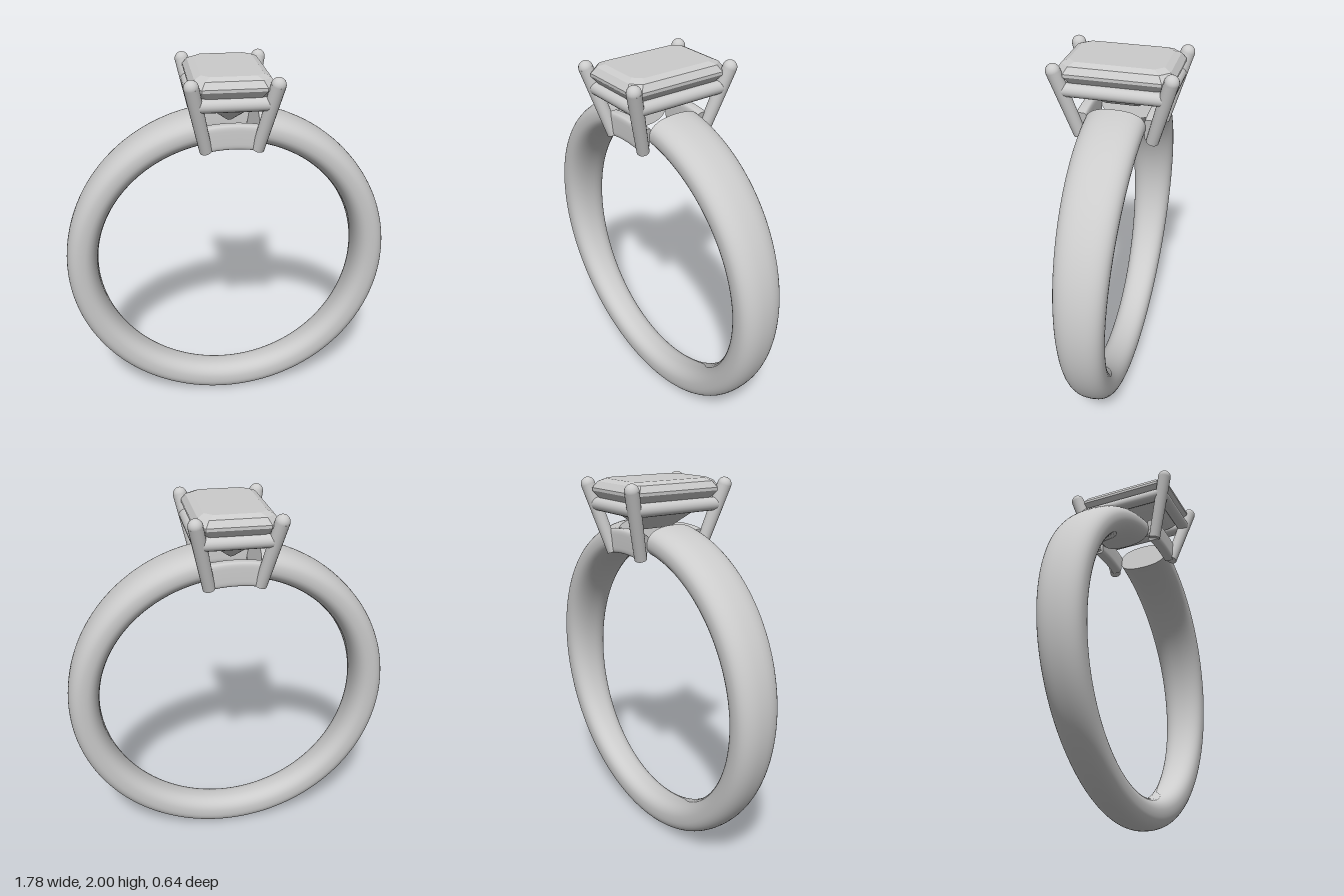
import * as THREE from 'three';
import { ConvexGeometry } from 'three/addons/geometries/ConvexGeometry.js';

const CENTER_Y = 0.895;
const V = (x, y, z) => new THREE.Vector3(x, y, z);

// Capped sweep round the finger hole; angle 0 is the top of the ring.
// size(a) gives { inner, outer, z, half }, power squares off the section.
function sweepArc(a0, a1, steps, sides, power, size) {
  const pos = [], idx = [];
  const bend = (v) => Math.sign(v) * Math.abs(v) ** (2 / power);
  const addSection = (a) => {
    const s = size(a);
    for (let j = 0; j < sides; j++) {
      const t = (j / sides) * Math.PI * 2;
      const r = (s.inner + s.outer) / 2 + ((s.outer - s.inner) / 2) * bend(Math.cos(t));
      pos.push(r * Math.sin(a), CENTER_Y + r * Math.cos(a), s.z + s.half * bend(Math.sin(t)));
    }
  };
  for (let i = 0; i <= steps; i++) addSection(a0 + ((a1 - a0) * i) / steps);
  for (let i = 0; i < steps; i++) {
    for (let j = 0; j < sides; j++) {
      const p = i * sides + j, q = i * sides + ((j + 1) % sides);
      idx.push(p, q, p + sides, q, q + sides, p + sides);
    }
  }
  // flat end caps with their own vertices
  for (const [a, start] of [[a0, true], [a1, false]]) {
    const b = pos.length / 3;
    addSection(a);
    for (let j = 1; j < sides - 1; j++) {
      if (start) idx.push(b, b + j + 1, b + j);
      else idx.push(b, b + j, b + j + 1);
    }
  }
  const g = new THREE.BufferGeometry();
  g.setAttribute('position', new THREE.Float32BufferAttribute(pos, 3));
  g.setIndex(idx);
  g.computeVertexNormals();
  return g;
}

// Round bar between two points
function bar(from, to, r0, r1) {
  const dir = to.clone().sub(from);
  const g = new THREE.CylinderGeometry(r1, r0, dir.length(), 20);
  g.applyQuaternion(new THREE.Quaternion().setFromUnitVectors(V(0, 1, 0), dir.normalize()));
  const mid = from.clone().add(to).multiplyScalar(0.5);
  return g.translate(mid.x, mid.y, mid.z);
}

export function createModel() {
  const model = new THREE.Group();
  model.name = 'ring';
  const metal = new THREE.MeshStandardMaterial({ color: 0xcccccc });
  const faceted = new THREE.MeshStandardMaterial({ color: 0xcccccc, flatShading: true });
  const add = (name, geometry, material = metal, parent = model) => {
    const mesh = new THREE.Mesh(geometry, material);
    mesh.name = name;
    parent.add(mesh);
    return mesh;
  };

  // Band: open at the head, widening towards the top
  add('band', sweepArc(0.17, Math.PI * 2 - 0.17, 160, 40, 2.4, (a) => ({
    inner: 0.722, outer: 0.892, z: 0, half: 0.122 + 0.031 * Math.cos(a),
  })));

  const head = new THREE.Group();
  head.name = 'head';
  model.add(head);

  // Curved plates closing the front and back of the basket
  for (const s of [1, -1]) {
    add(s > 0 ? 'frontPlate' : 'backPlate', sweepArc(-0.17, 0.17, 14, 32, 5, () => ({
      inner: 0.724, outer: 0.852, z: s * 0.175, half: 0.03,
    })), metal, head);
  }

  // Four splayed prongs with rounded tips
  const foot = V(0.131, 1.615, 0.187), tip = V(0.205, 1.963, 0.285);
  for (const sx of [1, -1]) {
    for (const sz of [1, -1]) {
      const mirror = V(sx, 1, sz);
      const prong = new THREE.Group();
      prong.name = (sz > 0 ? 'front' : 'back') + (sx > 0 ? 'Left' : 'Right') + 'Prong';
      head.add(prong);
      const end = tip.clone().multiply(mirror);
      add('prongShaft', bar(foot.clone().multiply(mirror), end, 0.032, 0.037), metal, prong);
      add('prongTip', new THREE.SphereGeometry(0.037, 20, 14), metal, prong)
        .position.copy(end);
    }
  }

  // Rectangular gallery rail under the stone
  const rx = 0.184, ry = 1.866, rz = 0.256;
  for (const s of [1, -1]) {
    add(s > 0 ? 'frontRail' : 'backRail',
      bar(V(-rx, ry, s * rz), V(rx, ry, s * rz), 0.034, 0.034), metal, head);
    add(s > 0 ? 'leftRail' : 'rightRail',
      bar(V(s * rx, ry, -rz), V(s * rx, ry, rz), 0.034, 0.034), metal, head);
  }

  // Step-cut stone: eight-sided levels as half width, half depth, corner cut, height
  const levels = [
    [0.01, 0.09, 0.004, 1.74],
    [0.115, 0.198, 0.03, 1.83],
    [0.165, 0.248, 0.042, 1.882],
    [0.206, 0.289, 0.05, 1.935],
    [0.206, 0.289, 0.05, 1.95],
    [0.184, 0.266, 0.046, 1.982],
    [0.152, 0.234, 0.04, 1.997],
  ];
  const points = [];
  for (const [x, z, c, y] of levels) {
    for (const sx of [1, -1]) {
      for (const sz of [1, -1]) {
        points.push(V(sx * x, y, sz * (z - c)), V(sx * (x - c), y, sz * z));
      }
    }
  }
  add('stone', new ConvexGeometry(points), faceted, head);
  return model;
}
